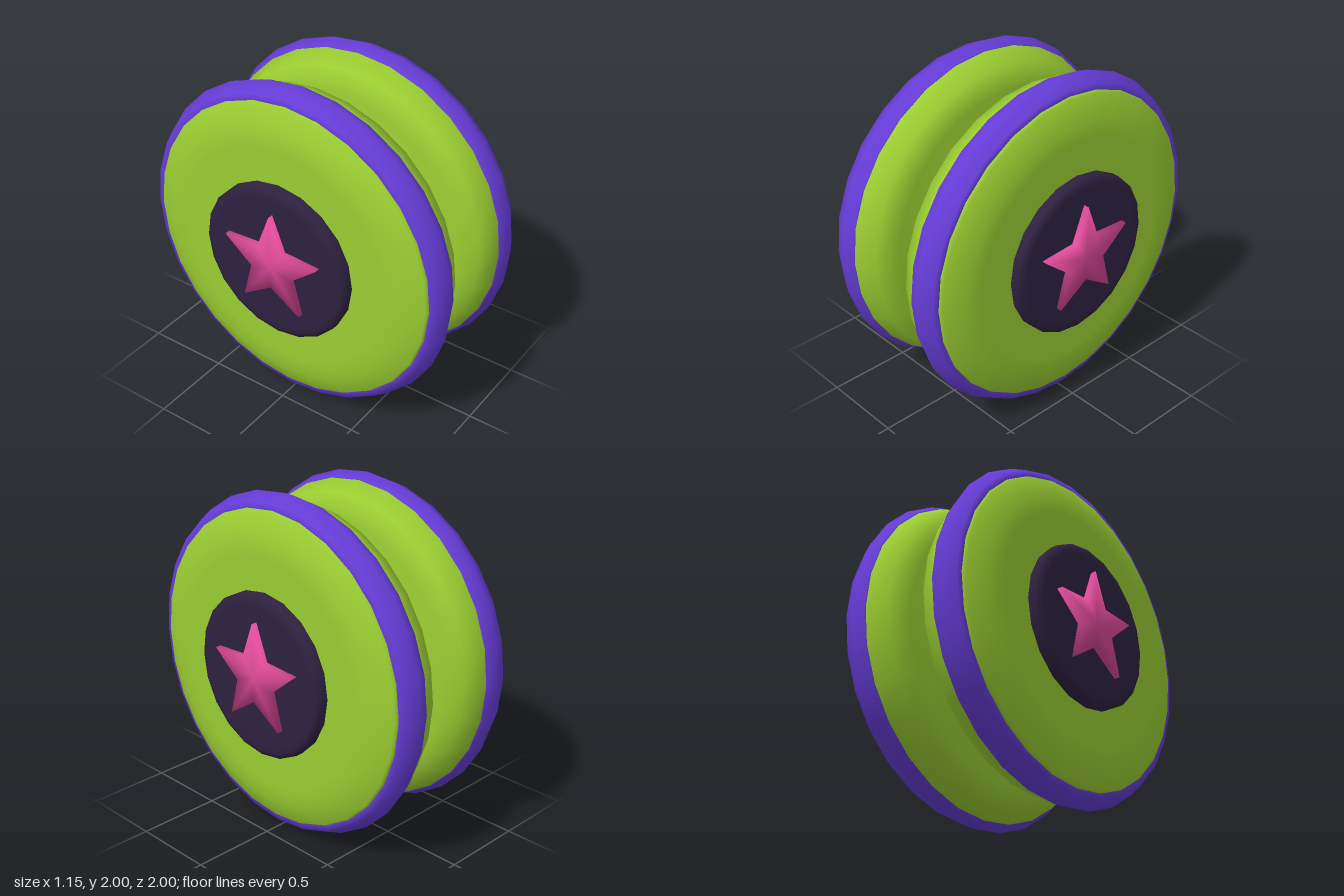
import * as THREE from 'three';

const material = (name, color) => {
  const m = new THREE.MeshStandardMaterial({ color });
  m.name = name;
  return m;
};

// Lathe about the x axis; profile points are [x, radius] with x ascending
function turned(profile, segments) {
  const points = profile.map(([x, r]) => new THREE.Vector2(r, x));
  return new THREE.LatheGeometry(points, segments).rotateZ(-Math.PI / 2);
}

// Raised five-pointed star facing +x, softly shaded from centre to edge
function starGeometry(outer, inner, x0, x1) {
  const position = [x1, 0, 0], normal = [1, 0, 0], index = [];
  for (let i = 0; i < 10; i++) {
    const a = (i * Math.PI) / 5, r = i % 2 ? inner : outer;
    const c = Math.cos(a), s = Math.sin(a), j = (i + 1) % 10;
    position.push(x1, r * c, r * s, x0, r * c, r * s);
    normal.push(0.45, 0.89 * c, 0.89 * s, 0, c, s);
    const top = 1 + 2 * i, low = top + 1, nextTop = 1 + 2 * j, nextLow = nextTop + 1;
    index.push(0, top, nextTop, top, low, nextLow, top, nextLow, nextTop);
  }
  const g = new THREE.BufferGeometry();
  g.setAttribute('position', new THREE.Float32BufferAttribute(position, 3));
  g.setAttribute('normal', new THREE.Float32BufferAttribute(normal, 3));
  g.setIndex(index);
  return g;
}

export function createModel() {
  const green = material('lime green', 0x9acd32);
  const purple = material('violet', 0x653cd6);
  const dark = material('dark plum', 0x2e2140);
  const pink = material('pink', 0xdf4a9a);

  const model = new THREE.Group();
  model.name = 'yoyo';
  const add = (parent, name, geometry, mat) => {
    const mesh = new THREE.Mesh(geometry, mat);
    mesh.name = name;
    parent.add(mesh);
  };

  // Two discs and the axle turned as one smooth body
  const half = [[0.08, 0.4], [0.08, 0.79], [0.13, 0.91], [0.25, 0.964],
    [0.41, 0.92], [0.43, 0.91], [0.48, 0.79], [0.48, 0.68], [0.48, 0]];
  const mirrored = half.map(([x, r]) => [-x, r]).reverse();
  add(model, 'body', turned([...mirrored, [0, 0.4], ...half], 28), green);

  // Rim band, hub cap and star on each side
  const rim = turned([[0.25, 0.962], [0.25, 0.97], [0.32, 1], [0.41, 0.957], [0.41, 0.918]], 28);
  const hub = turned([[0.47, 0.48], [0.525, 0.48], [0.542, 0.45], [0.542, 0.42], [0.542, 0]], 20);
  const star = starGeometry(0.325, 0.14, 0.53, 0.576);
  for (const [name, turn] of [['leftSide', 0], ['rightSide', Math.PI]]) {
    const side = new THREE.Group();
    side.name = name;
    side.rotation.y = turn;
    add(side, 'rimBand', rim, purple);
    add(side, 'hubCap', hub, dark);
    add(side, 'star', star, pink);
    model.add(side);
  }

  model.position.y = 1;
  const root = new THREE.Group();
  root.name = 'model';
  root.add(model);
  return root;
}
